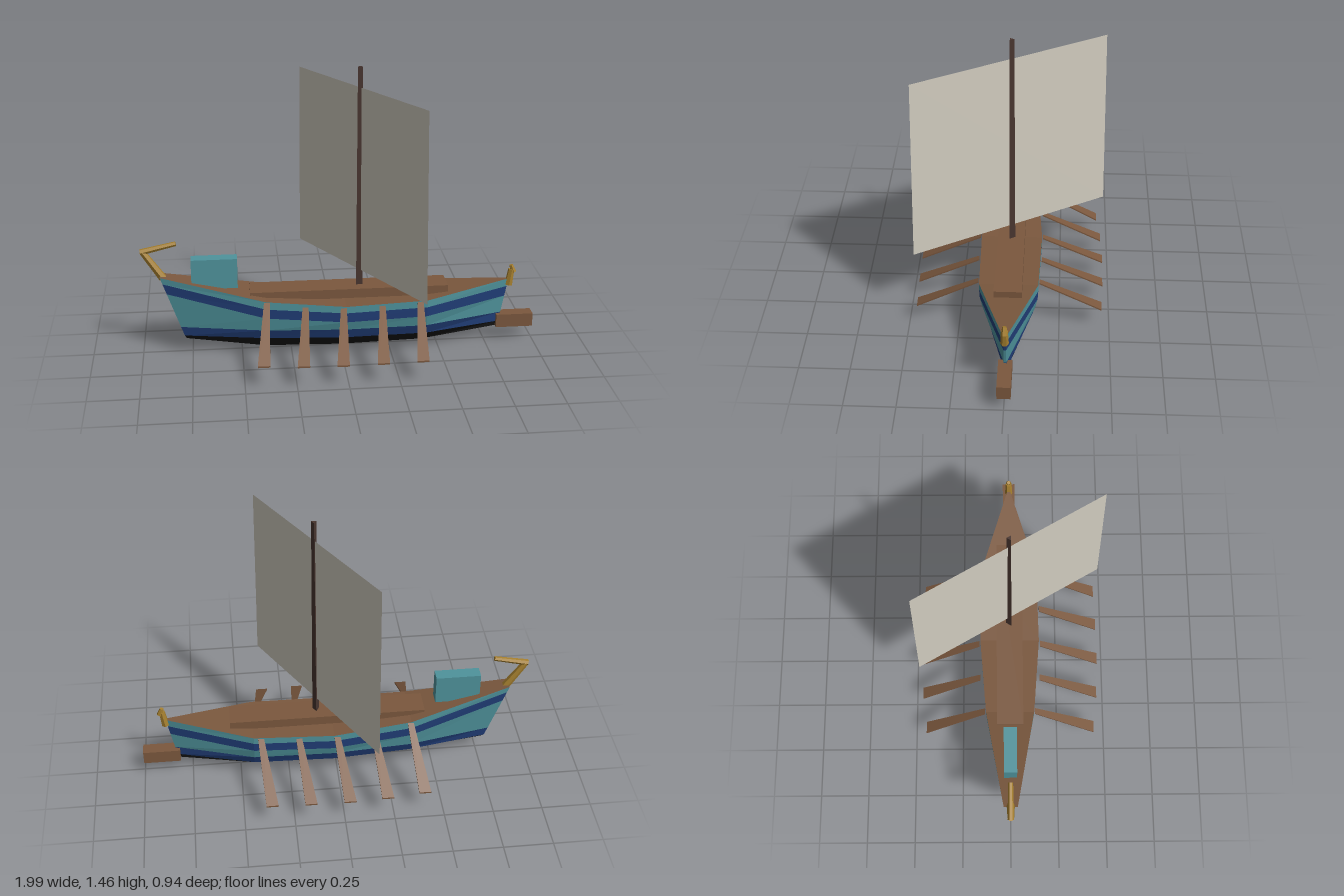
import * as THREE from 'three';

const mat = (name, color, extra = {}) =>
  Object.assign(new THREE.MeshStandardMaterial({ color, flatShading: true, ...extra }), { name });

export function createModel() {
  const teal = mat('teal paint', 0x4f939c);
  const navy = mat('navy paint', 0x213e78);
  const black = mat('black tar', 0x171717);
  const wood = mat('wood', 0x7b583e);
  const darkWood = mat('dark mast wood', 0x48352f);
  const gold = mat('gold', 0xa6802f);
  const canvas = mat('sail canvas', 0xd2cdc0, { side: THREE.DoubleSide });

  const model = new THREE.Group();
  model.name = 'galley';
  const add = (name, geometry, material, parent = model) => {
    const mesh = new THREE.Mesh(geometry, material);
    mesh.name = name;
    parent.add(mesh);
    return mesh;
  };
  const quads = (list) => {
    const pos = [];
    for (const [a, b, c, d] of list) pos.push(...a, ...b, ...c, ...a, ...c, ...d);
    const g = new THREE.BufferGeometry();
    g.setAttribute('position', new THREE.Float32BufferAttribute(pos, 3));
    g.computeVertexNormals();
    return g;
  };

  // Hull cross-sections, keel to rail: x at each height, heights, half widths
  const stations = [
    { x: (y) => -0.9 + (0.42 - y) * 0.343, y: [0.07, 0.095, 0.145, 0.33, 0.385, 0.42], w: [0, 0.022, 0.026, 0.032, 0.034, 0.035] },
    { x: () => -0.38, y: [0.01, 0.095, 0.145, 0.215, 0.265, 0.305], w: [0, 0.095, 0.112, 0.122, 0.125, 0.125] },
    { x: () => 0.02, y: [0, 0.095, 0.145, 0.19, 0.24, 0.275], w: [0, 0.125, 0.141, 0.153, 0.155, 0.155] },
    { x: () => 0.43, y: [0.01, 0.095, 0.145, 0.2, 0.25, 0.287], w: [0, 0.112, 0.13, 0.142, 0.145, 0.145] },
    { x: (y) => 0.87 - (0.33 - y) * 0.19, y: [0.07, 0.095, 0.145, 0.235, 0.288, 0.33], w: [0, 0.006, 0.006, 0.006, 0.006, 0.006] },
  ];
  const point = (i, j, side) => {
    const s = stations[i];
    return [s.x(s.y[j]), s.y[j], side * s.w[j]];
  };
  const hull = new THREE.Group();
  hull.name = 'hull';
  model.add(hull);
  const last = stations.length - 1;
  const bands = [['bottom', black], ['lowerStripe', navy], ['sidePlanking', teal], ['upperStripe', navy], ['rail', teal]];
  bands.forEach(([name, material], j) => {
    const list = [];
    for (let i = 0; i < last; i++) {
      list.push([point(i, j, 1), point(i + 1, j, 1), point(i + 1, j + 1, 1), point(i, j + 1, 1)]);
      list.push([point(i + 1, j, -1), point(i, j, -1), point(i, j + 1, -1), point(i + 1, j + 1, -1)]);
    }
    // End caps at stern and bow
    list.push([point(0, j, -1), point(0, j, 1), point(0, j + 1, 1), point(0, j + 1, -1)]);
    list.push([point(last, j, 1), point(last, j, -1), point(last, j + 1, -1), point(last, j + 1, 1)]);
    add(name, quads(list), material, hull);
  });
  const deck = [];
  for (let i = 0; i < last; i++) {
    deck.push([point(i, 5, 1), point(i + 1, 5, 1), point(i + 1, 5, -1), point(i, 5, -1)]);
  }
  add('deck', quads(deck), wood, hull);

  // Boxes given by their limits
  const box = (name, material, x0, x1, y0, y1, z) =>
    add(name, new THREE.BoxGeometry(x1 - x0, y1 - y0, z * 2), material)
      .position.set((x0 + x1) / 2, (y0 + y1) / 2, 0);
  box('gangway', wood, -0.455, 0.545, 0.285, 0.333, 0.068);
  box('cabin', teal, -0.745, -0.515, 0.35, 0.505, 0.033);
  box('ram', wood, 0.81, 1, 0.07, 0.14, 0.033);

  // Tapered rods for the stern and bow ornaments
  const rod = (name, x0, y0, x1, y1, r0, r1) => {
    const mesh = add(name, new THREE.CylinderGeometry(r1, r0, Math.hypot(x1 - x0, y1 - y0), 6), gold);
    mesh.position.set((x0 + x1) / 2, (y0 + y1) / 2, 0);
    mesh.rotation.z = -Math.atan2(x1 - x0, y1 - y0);
  };
  rod('sternPost', -0.885, 0.405, -0.982, 0.55, 0.021, 0.016);
  rod('sternCurl', -0.99, 0.547, -0.815, 0.586, 0.016, 0.012);
  rod('bowPost', 0.872, 0.295, 0.885, 0.38, 0.02, 0.016);
  rod('bowCurl', 0.896, 0.365, 0.883, 0.403, 0.016, 0.01);

  // Mast and slanted square sail
  const mast = add('mast', new THREE.CylinderGeometry(0.014, 0.02, 1.19, 3), darkWood);
  mast.position.set(0.1, 0.865, 0);
  mast.rotation.y = Math.PI;
  add('sail', quads([[
    [-0.167, 0.41, -0.466], [0.371, 0.41, 0.466], [0.361, 1.357, 0.45], [-0.16, 1.357, -0.45],
  ]]), canvas);

  // Oars: thin blades widening outward and sloping down
  const oars = [
    [-0.375, 0.3, 0.13, 0.442], [-0.185, 0.277, 0.155, 0.462], [0.005, 0.267, 0.16, 0.47],
    [0.2, 0.27, 0.157, 0.467], [0.393, 0.28, 0.15, 0.46],
  ];
  const lerp = THREE.MathUtils.lerp;
  for (const side of [1, -1]) {
    for (const [x, y, zIn, zOut] of oars) {
      const g = new THREE.BoxGeometry(1, 1, 1);
      const p = g.attributes.position;
      for (let k = 0; k < p.count; k++) {
        const t = 0.5 + side * p.getZ(k);
        p.setXYZ(k,
          lerp(x, x - 0.033, t) + p.getX(k) * lerp(0.03, 0.06, t),
          lerp(y, 0.108, t) + p.getY(k) * 0.008,
          side * lerp(zIn, zOut, t));
      }
      g.computeVertexNormals();
      add(side > 0 ? 'frontOar' : 'backOar', g, wood);
    }
  }
  return model;
}
